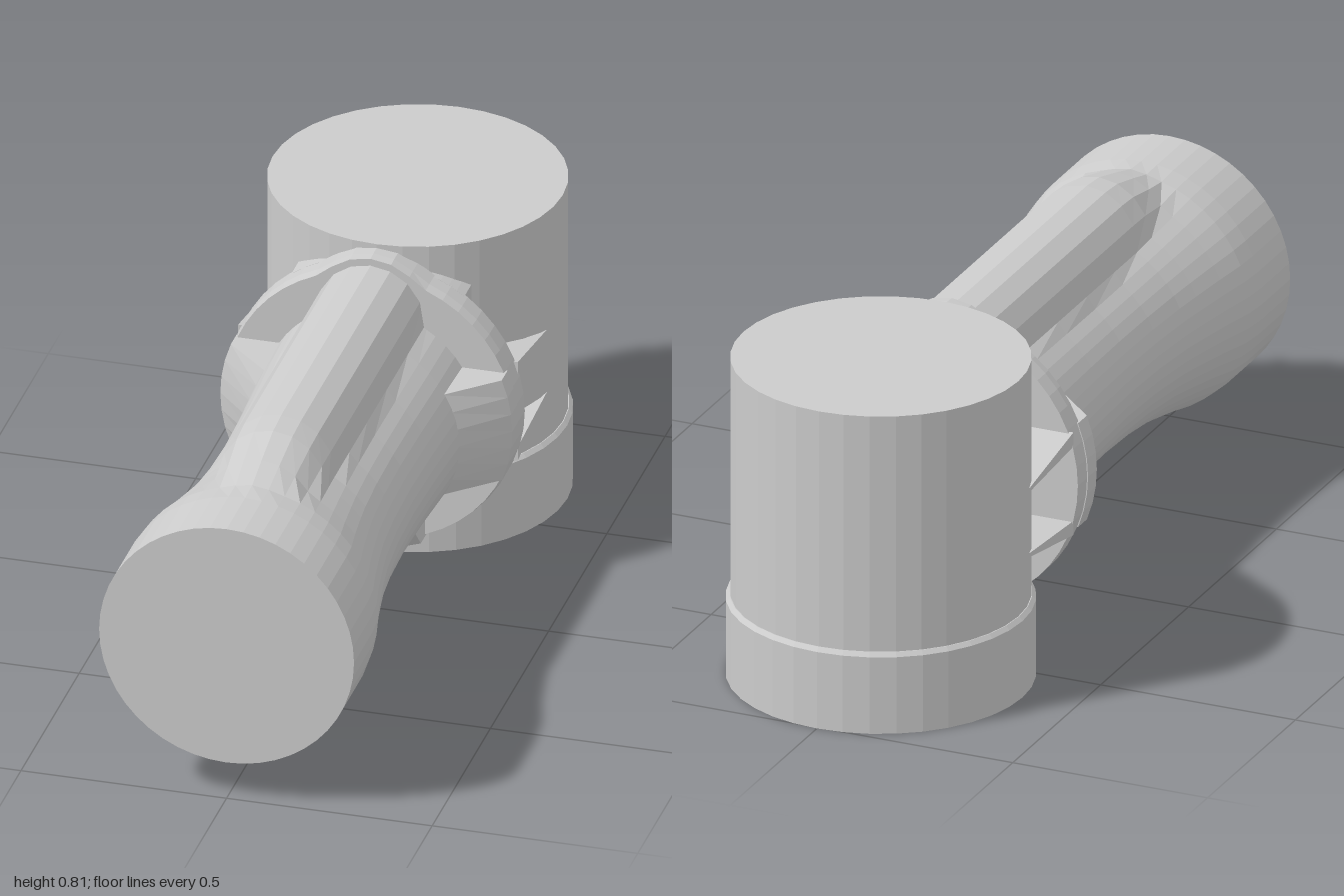
import * as THREE from 'three';

const AXIS_Y = 0.405;   // height of the horizontal pipe axis
const TANK_Z = -0.642;  // vertical cylinder axis
const FLANGE_R = 0.355;
const material = new THREE.MeshStandardMaterial({ color: 0xcccccc, flatShading: true });

function add(group, name, geometry) {
  const mesh = new THREE.Mesh(geometry, material);
  mesh.name = name;
  group.add(mesh);
  return mesh;
}

// Distance from the axis at angle a (0 = up) of a circle r joined with a ridge circle rr, raised by d
function outline(a, r, d, rr) {
  const s = d * Math.sin(a);
  if (Math.cos(a) <= 0 || Math.abs(s) >= rr) return r;
  return Math.max(r, d * Math.cos(a) + Math.sqrt(rr * rr - s * s));
}

// Closed loft through sections [z, r, d, rr], listed from front to back
function loft(sections, sides) {
  const pos = [], index = [];
  sections.forEach(([z, r, d, rr]) => {
    for (let i = 0; i < sides; i++) {
      const a = (i / sides) * Math.PI * 2;
      const rho = outline(a, r, d, rr);
      pos.push(rho * Math.sin(a), AXIS_Y + rho * Math.cos(a), z);
    }
  });
  const last = sections.length - 1;
  const front = pos.length / 3, back = front + 1;
  pos.push(0, AXIS_Y, sections[0][0], 0, AXIS_Y, sections[last][0]);
  for (let i = 0; i < sides; i++) {
    const k = (i + 1) % sides;
    for (let j = 0; j < last; j++) {
      const a = j * sides + i, b = j * sides + k;
      index.push(a, b, a + sides, b, b + sides, a + sides);
    }
    index.push(front, k, i, back, last * sides + i, last * sides + k);
  }
  const g = new THREE.BufferGeometry();
  g.setAttribute('position', new THREE.Float32BufferAttribute(pos, 3));
  g.setIndex(index);
  g.computeVertexNormals();
  return g;
}

// Moves every vertex of a unit box by rule(v)
function shapedBox(sx, sy, sz, rule) {
  const g = new THREE.BoxGeometry(1, 1, 1, sx, sy, sz);
  const p = g.attributes.position, v = new THREE.Vector3();
  for (let i = 0; i < p.count; i++) {
    rule(v.fromBufferAttribute(p, i));
    p.setXYZ(i, v.x, v.y, v.z);
  }
  g.computeVertexNormals();
  return g;
}

export function createModel() {
  const model = new THREE.Group();
  model.name = 'pipeFitting';

  // Vertical cylinder with a chamfered collar at its foot
  const profile = [[0, 0], [0.364, 0], [0.364, 0.195], [0.355, 0.205], [0.353, 0.205], [0.353, 0.805], [0, 0.805]]
    .map(([x, y]) => new THREE.Vector2(x, y));
  add(model, 'uprightCylinder', new THREE.LatheGeometry(profile, 36)).position.z = TANK_Z;

  // Waisted pipe with a raised ridge on top that fades out towards the mouth
  add(model, 'pipe', loft([
    [1, 0.31, 0.1, 0.1],
    [0.84, 0.31, 0.15, 0.12],
    [0.78, 0.305, 0.183, 0.13],
    [0.7, 0.287, 0.207, 0.13],
    [0.6, 0.269, 0.234, 0.13],
    [0.53, 0.258, 0.24, 0.13],
    [0.4, 0.247, 0.24, 0.13],
    [0.25, 0.243, 0.24, 0.13],
    [0.08, 0.247, 0.24, 0.13],
    [-0.1, 0.256, 0.24, 0.13],
    [-0.28, 0.26, 0.24, 0.13],
  ], 48), );

  // Flange that follows the ridge
  add(model, 'flange', loft([
    [-0.237, 0.35, 0.24, 0.148],
    [-0.262, FLANGE_R, 0.24, 0.15],
    [-0.308, FLANGE_R, 0.24, 0.15],
  ], 48));

  // Neck joining flange and cylinder: the flange disc cut off at both sides
  const half = Math.acos(0.21 / FLANGE_R);
  const neck = new THREE.Shape();
  neck.absarc(0, 0, FLANGE_R, half, Math.PI - half, false);
  neck.absarc(0, 0, FLANGE_R, Math.PI + half, -half, false);
  neck.closePath();
  const neckGeometry = new THREE.ExtrudeGeometry(neck, { depth: 0.2, bevelEnabled: false, curveSegments: 10 });
  add(model, 'neck', neckGeometry).position.set(0, AXIS_Y, -0.5);

  // Wedge lugs in front of the flange: left, right and bottom
  const lugRows = [[-0.25, FLANGE_R], [-0.2, FLANGE_R], [-0.09, 0.25]];
  const lug = shapedBox(6, 1, 2, (v) => {
    const [z, r] = lugRows[Math.round((v.z + 0.5) * 2)];
    const w = v.x * 0.265;
    v.set(w, v.y > 0 ? Math.sqrt(r * r - w * w) : 0.12, z);
  });
  [['leftLug', -0.5], ['bottomLug', 1], ['rightLug', 0.5]].forEach(([name, turn]) => {
    const mesh = add(model, name, lug);
    mesh.rotation.z = turn * Math.PI;
    mesh.position.y = AXIS_Y;
  });

  // Tapered ribs bracing the flange against the cylinder
  for (const side of [1, -1]) {
    for (const up of [1, -1]) {
      const rib = shapedBox(1, 1, 1, (v) => {
        const back = v.z < 0;
        const y = AXIS_Y + up * (back ? 0.083 : 0.113) + v.y * (back ? 0.01 : 0.036);
        v.set(side * 0.2 + v.x * 0.28, y, back ? -0.55 : -0.3);
      });
      add(model, (side > 0 ? 'left' : 'right') + (up > 0 ? 'Upper' : 'Lower') + 'Rib', rib);
    }
  }

  return model;
}
